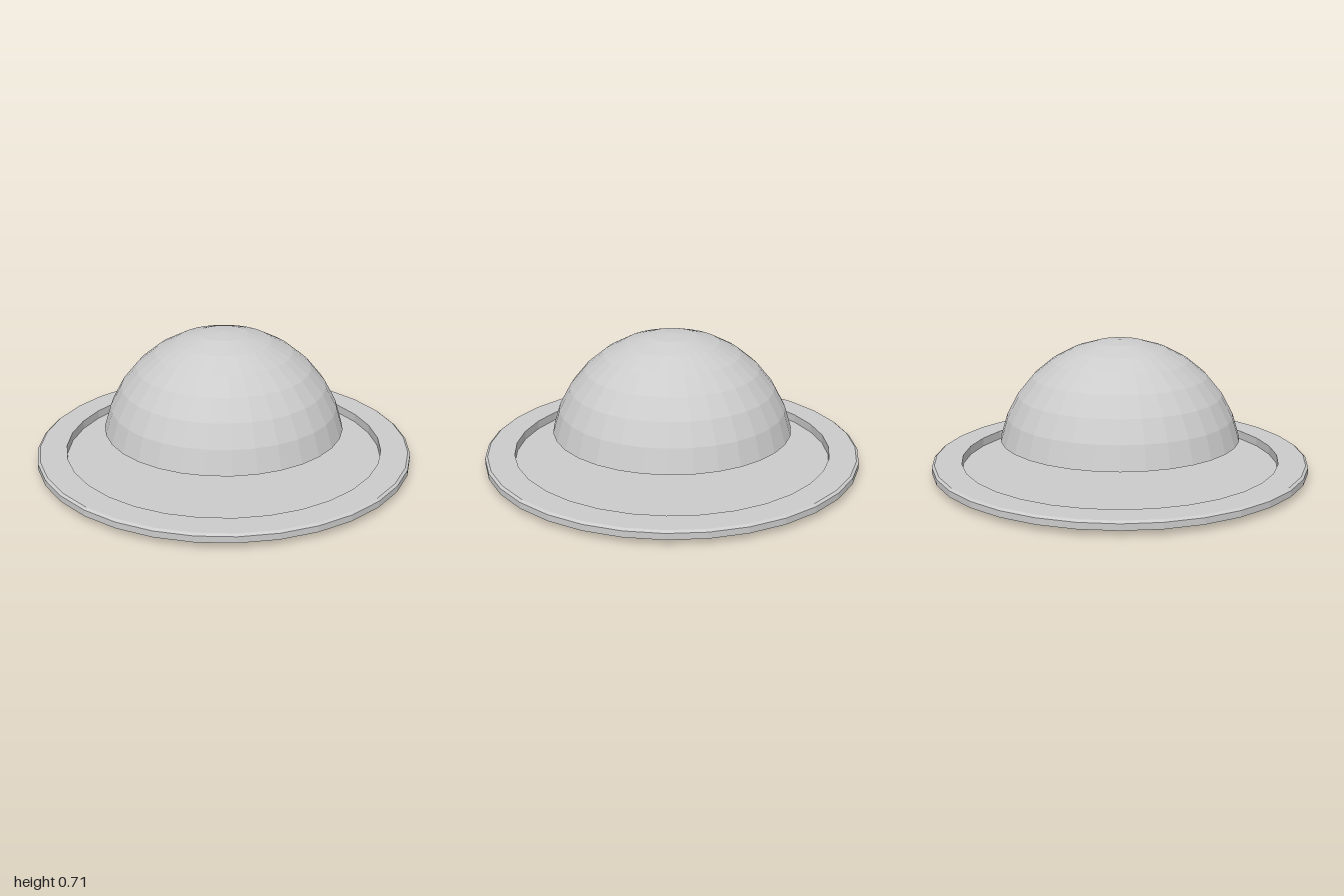
import * as THREE from 'three';

const SIDES = 32;

export function createModel() {
  const group = new THREE.Group();
  const add = (name, geometry, side = THREE.FrontSide) => {
    const material = new THREE.MeshStandardMaterial({ color: 0xcccccc, flatShading: true, side });
    const mesh = new THREE.Mesh(geometry, material);
    mesh.name = name;
    group.add(mesh);
    return mesh;
  };

  // Round base: stepped foot, chamfered rim and recessed floor
  const profile = [
    [0, 0], [0.91, 0], [0.91, 0.03], [1, 0.03], [1, 0.063],
    [0.987, 0.073], [0.845, 0.073], [0.845, 0.027], [0, 0.027],
  ].map(([r, y]) => new THREE.Vector2(r, y));
  add('base', new THREE.LatheGeometry(profile, SIDES));

  // Open dome floating above the floor: top seven bands of a 16-band sphere
  const dome = add(
    'dome',
    new THREE.SphereGeometry(0.65, SIDES, 7, 0, Math.PI * 2, 0, (Math.PI * 7) / 16),
    THREE.DoubleSide,
  );
  dome.position.y = 0.057;

  return group;
}
